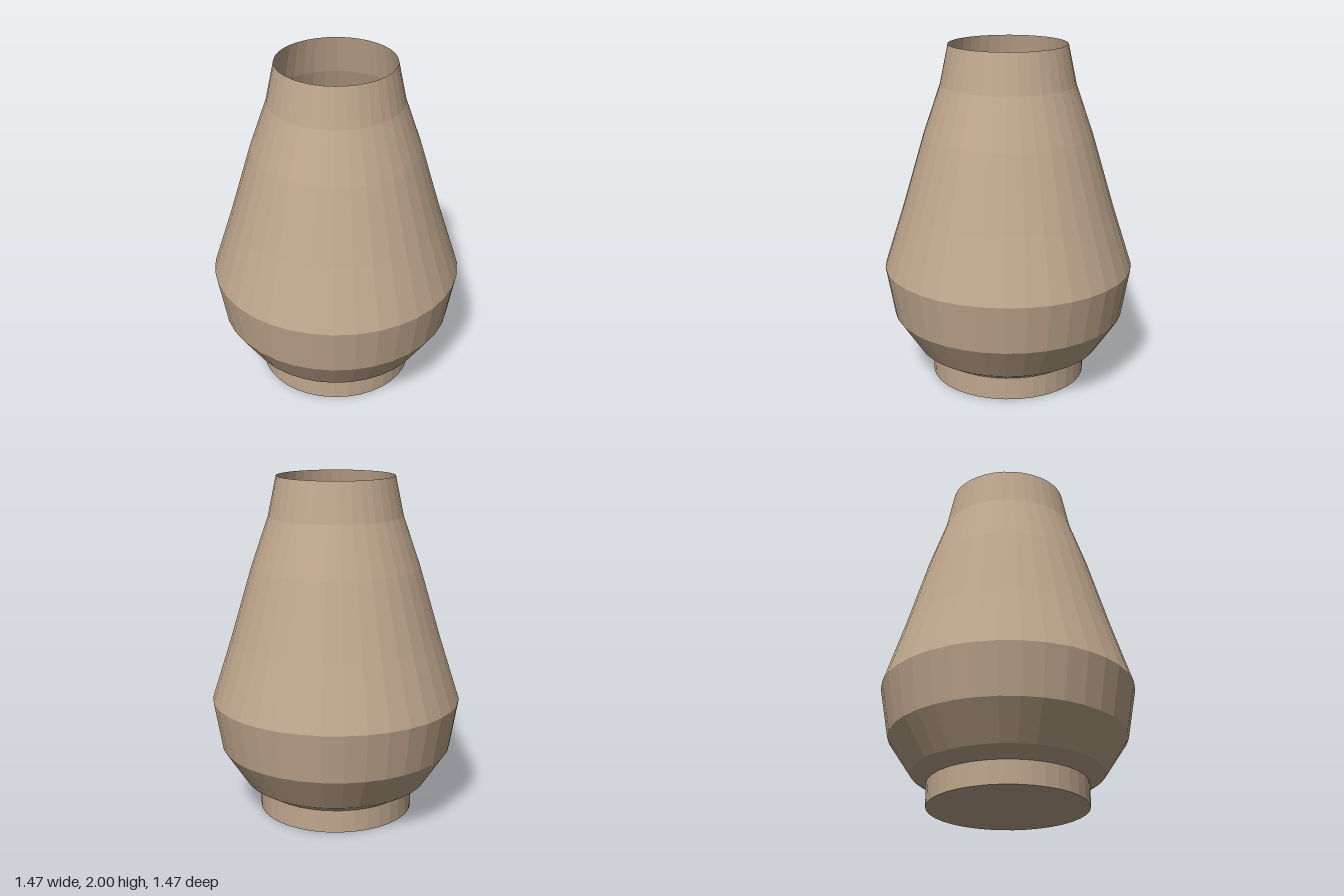
import * as THREE from 'three';

const SIDES = 36;
const HALF_STEP = Math.PI / SIDES;
const FIT = 1 / Math.cos(HALF_STEP); // facets face the axes, so corners sit slightly further out

export function createModel() {
  const group = new THREE.Group();
  group.name = 'vase';

  const clay = new THREE.MeshStandardMaterial({
    color: 0xc0a78e,
    flatShading: true,
    side: THREE.DoubleSide,
  });
  clay.name = 'clay';

  // Thin open wall: lower flare, belly, tapering shoulder and neck
  const profile = [
    [0.457, 0.135], [0.547, 0.19], [0.683, 0.397], [0.733, 0.687],
    [0.617, 1.05], [0.49, 1.48], [0.39, 1.77], [0.342, 2],
  ].map(([r, y]) => new THREE.Vector2(r * FIT, y));
  const body = new THREE.Mesh(new THREE.LatheGeometry(profile, SIDES, HALF_STEP), clay);
  body.name = 'body';
  group.add(body);

  // Solid round foot, whose top is the floor inside
  const footRadius = 0.457 * FIT;
  const foot = new THREE.Mesh(
    new THREE.CylinderGeometry(footRadius, footRadius, 0.135, SIDES, 1, false, HALF_STEP),
    clay,
  );
  foot.name = 'foot';
  foot.position.y = 0.0675;
  group.add(foot);

  return group;
}
